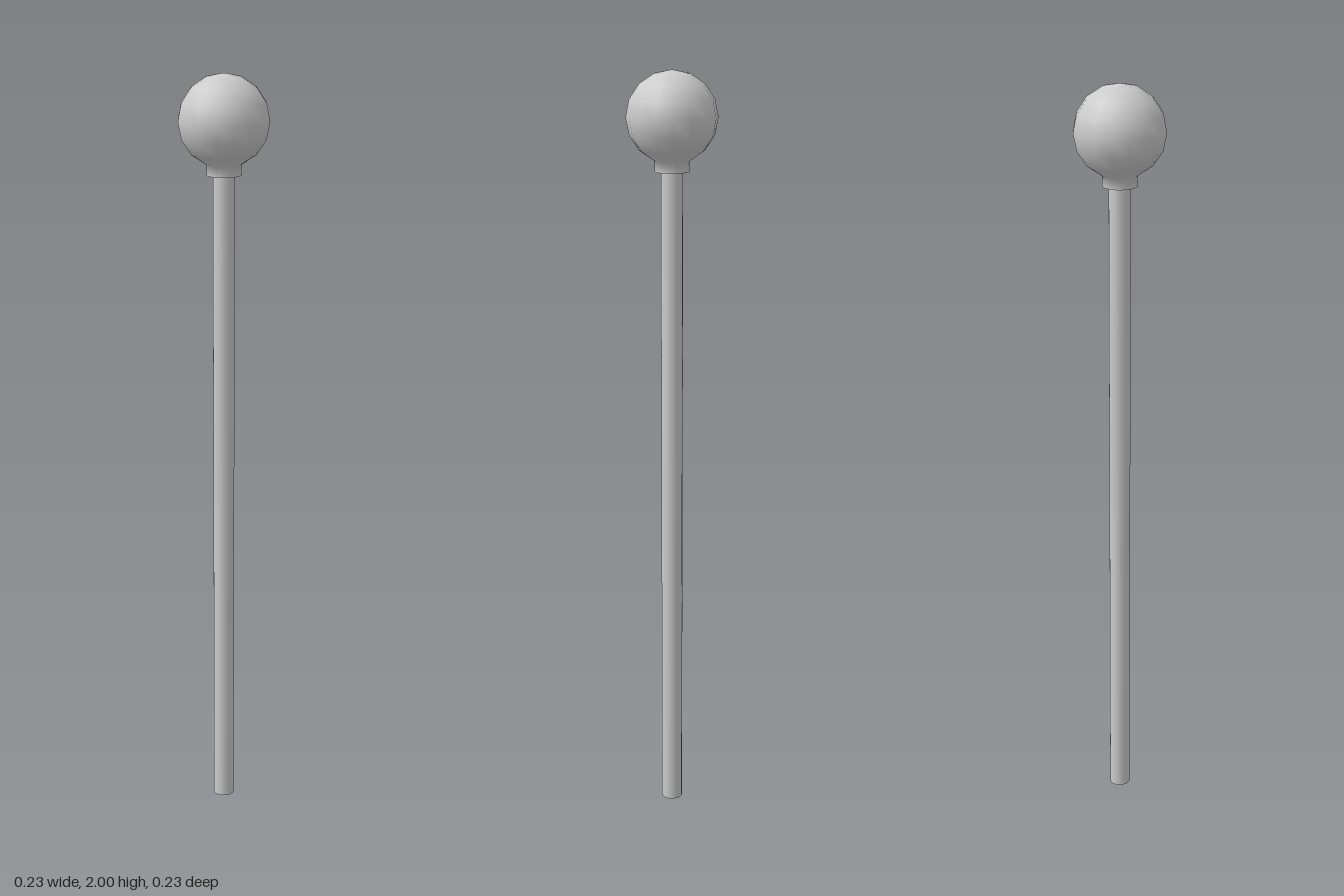
import * as THREE from 'three';

const SIDES = 16;
const BALL_R = 0.116;
const COLLAR_BOTTOM = 1.75;
const ROD_R = 0.028;

export function createModel() {
  const group = new THREE.Group();
  const material = new THREE.MeshStandardMaterial({ color: 0xcccccc });
  const add = (name, geometry, y = 0) => {
    const mesh = new THREE.Mesh(geometry, material);
    mesh.name = name;
    mesh.position.y = y;
    group.add(mesh);
  };

  // Straight rod, standing on the ground and running up into the collar
  const rodHeight = COLLAR_BOTTOM + 0.02;
  add('rod', new THREE.CylinderGeometry(ROD_R, ROD_R, rodHeight, SIDES), rodHeight / 2);

  // Ball whose lowest ring is drawn down into a short collar
  const step = Math.PI / 8;
  const collarR = BALL_R * Math.sin(step);
  const profile = [new THREE.Vector2(collarR, COLLAR_BOTTOM)];
  for (let i = 1; i <= 8; i++) {
    const a = i * step;
    profile.push(new THREE.Vector2(i === 8 ? 0 : BALL_R * Math.sin(a), 2 - BALL_R - BALL_R * Math.cos(a)));
  }
  add('ballHead', new THREE.LatheGeometry(profile, SIDES));

  // Flat underside of the collar
  const underside = new THREE.RingGeometry(ROD_R, collarR, SIDES).rotateX(Math.PI / 2);
  add('collarUnderside', underside, COLLAR_BOTTOM);

  return group;
}
